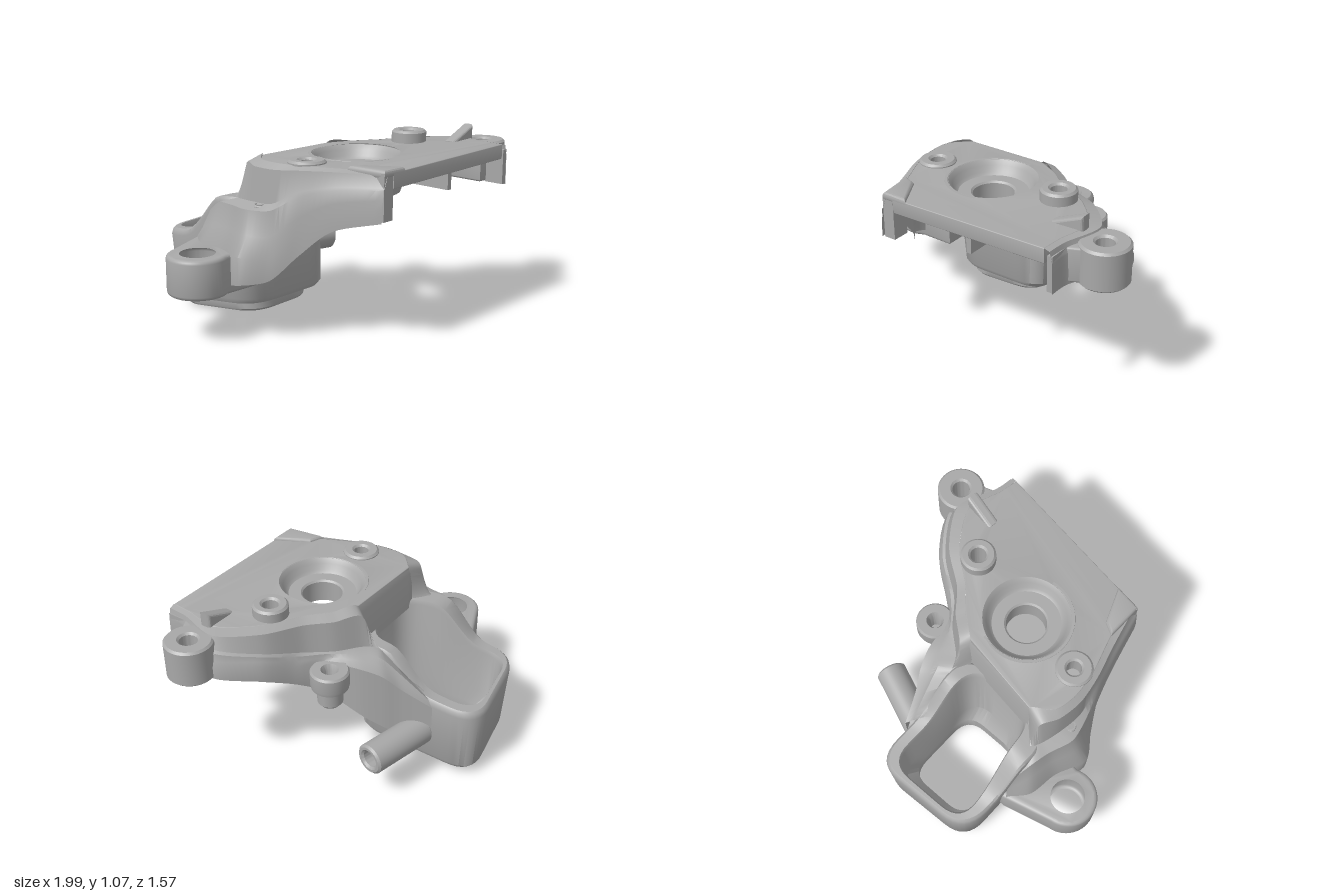
import * as THREE from 'three';
import { toCreasedNormals } from 'three/addons/utils/BufferGeometryUtils.js';

// Surface through rows of points; closed options join last to first
function grid(rows, closed = false) {
  const n = rows[0].length, m = rows.length, pos = [], idx = [];
  rows.forEach((r) => r.forEach((p) => pos.push(p.x, p.y, p.z)));
  for (let i = 0; i < (closed ? m : m - 1); i++) {
    for (let j = 0; j < (closed ? n : n - 1); j++) {
      const a = i * n + j, b = i * n + (j + 1) % n;
      const c = ((i + 1) % m) * n + j, d = ((i + 1) % m) * n + (j + 1) % n;
      idx.push(a, b, d, a, d, c);
    }
  }
  const g = new THREE.BufferGeometry();
  g.setAttribute('position', new THREE.Float32BufferAttribute(pos, 3));
  g.setIndex(idx);
  return toCreasedNormals(g, 0.65);
}

// Smooth curve through points
const spline = (pts, k = 6) => new THREE.CatmullRomCurve3(pts, false, 'catmullrom', 0.4).getPoints((pts.length - 1) * k);

// Skirt section: deck edge, rounded shoulder, wall foot, shelf, slope, outer edge, lower edge
function section([dx, dy, dz, fx, fy, fz, ex, ey, ez, bottom]) {
  const deck = new THREE.Vector3(dx, dy, dz), foot = new THREE.Vector3(fx, fy, fz), edge = new THREE.Vector3(ex, ey, ez);
  const between = (a, b, across, down) => a.clone().lerp(b, across).setY(a.y + (b.y - a.y) * down);
  return [deck, between(deck, foot, .7, .14), foot, between(foot, edge, .45, .1),
    between(foot, edge, .64, .6), edge, edge.clone().setY(bottom)];
}

// Smooth skin over a list of cross-sections
function skin(stations) {
  const cols = stations[0].map((_, j) => spline(stations.map((s) => s[j])));
  return grid(cols[0].map((_, i) => cols.map((c) => c[i])));
}

// Rounded four-corner loop at a height given by a function of z
function loop(corners, r, height) {
  const pts = corners.map((c) => new THREE.Vector2(...c));
  const toward = (a, b) => b.clone().sub(a).setLength(r).add(a);
  return pts.flatMap((p, i) => {
    const next = pts[(i + 1) % 4], b = toward(p, next), end = toward(next, p);
    const q = new THREE.QuadraticBezierCurve(toward(p, pts[(i + 3) % 4]), p, b).getPoints(8);
    for (let k = 1; k < 10; k++) q.push(b.clone().lerp(end, k / 10));
    return q.map((t) => new THREE.Vector3(t.x, height(t.y), t.y));
  });
}

// Flat plate from an x,z outline with round holes [x, z, r]
function plate(outline, y0, y1, holes, bevel = 0.012) {
  const s = new THREE.Shape(outline.map(([x, z]) => new THREE.Vector2(x, -z)));
  holes.forEach(([x, z, r]) => s.holes.push(new THREE.Path().absarc(x, -z, r, 0, Math.PI * 2, true)));
  const g = new THREE.ExtrudeGeometry(s, {
    depth: y1 - y0 - 2 * bevel, bevelEnabled: true, bevelThickness: bevel,
    bevelSize: bevel, bevelOffset: -bevel, bevelSegments: 3, curveSegments: 40,
  });
  return toCreasedNormals(g.rotateX(-Math.PI / 2).translate(0, y0 + bevel, 0), 0.6);
}

// Turned part from a radius, height profile
const turned = (profile) => toCreasedNormals(new THREE.LatheGeometry(profile.map((p) => new THREE.Vector2(...p)), 48), 0.6);

// Hollow boss with softened edges
const boss = (r, hole, y0, y1) => turned([
  [hole, y0], [r - 0.01, y0], [r, y0 + 0.01], [r, y1 - 0.012], [r - 0.012, y1],
  [hole + 0.012, y1], [hole, y1 - 0.012], [hole, y0],
]);

export function createModel() {
  const group = new THREE.Group();
  const metal = new THREE.MeshStandardMaterial({ color: 0xa8a8a8, side: THREE.DoubleSide });
  metal.name = 'cast grey';
  const add = (name, geo, x = 0, y = 0, z = 0) => {
    const m = new THREE.Mesh(geo, metal);
    m.name = name;
    m.position.set(x, y, z);
    group.add(m);
    return m;
  };

  // Side skirts, front to back: deck edge, wall foot, outer edge, lower height
  const left = [
    [-.28, .97, .775, -.35, .9, .775, -.37, .8, .775, .72],
    [-.39, .97, .52, -.445, .88, .52, -.465, .74, .52, .65],
    [-.47, .97, .34, -.52, .84, .34, -.54, .62, .35, .5],
    [-.51, .97, .18, -.565, .76, .18, -.635, .48, .23, .36],
    [-.5, .97, .04, -.565, .75, .03, -.74, .485, .1, .33],
    [-.4, .97, -.06, -.55, .745, -.08, -.69, .49, -.09, .29],
    [-.43, .735, -.08, -.53, .735, -.16, -.685, .485, -.27, .28],
    [-.53, .63, -.3, -.55, .62, -.32, -.61, .48, -.39, .28],
  ].map(section);
  const right = [
    [.68, .99, .775, .725, .93, .775, .73, .82, .775, .75],
    [.69, .99, .65, .735, .93, .65, .74, .82, .65, .75],
    [.72, .99, .45, .8, .91, .4, .84, .82, .39, .75],
    [.56, .987, .25, .63, .86, .2, .68, .81, .19, .71],
    [.36, .981, .13, .42, .79, .09, .5, .74, .09, .62],
    [.24, .977, .03, .29, .77, -.03, .36, .73, 0, .52],
    [.1, .973, -.05, .15, .755, -.12, .295, .72, -.2, .4],
    [.06, .735, -.09, .1, .74, -.2, .24, .68, -.31, .33],
    [.06, .64, -.3, .09, .66, -.31, .18, .59, -.4, .28],
    [.03, .53, -.43, .06, .51, -.48, .1, .48, -.55, .27],
  ].map(section);
  add('leftSkirt', skin(left));
  add('rightSkirt', skin(right));

  // Top deck, bounded by the skirt edges and rising slightly to one side
  const deckEdge = (side, n) => spline(side.slice(0, n).map((s) => s[0]));
  const edge = [...deckEdge(left, 6), ...deckEdge(right, 7).reverse()];
  const deck = plate(edge.map((p) => [p.x, p.z]), 0.885, 0.97,
    [[0, .27, .25], [-.39, .27, .06], [.44, .29, .06]], 0.004);
  const dp = deck.attributes.position;
  for (let i = 0; i < dp.count; i++) dp.setY(i, dp.getY(i) + .03 * Math.max(0, dp.getX(i)));
  add('topDeck', deck);
  add('deckBackWall', skin([-.42, -.15, .13].map((x) => [
    new THREE.Vector3(x, .965, -.057), new THREE.Vector3(x, .93, -.067), new THREE.Vector3(x, .7, -.078),
  ])));

  // Dished bearing seat
  add('bearingSeat', turned([
    [.115, .76], [.115, .885], [.125, .895], [.195, .895], [.212, .91], [.225, .945],
    [.25, .972], [.265, .972], [.27, .96], [.27, .82], [.25, .76], [.115, .76],
  ]), 0, 0, .27);

  // Bosses
  add('deckBossLeft', boss(.105, .042, .86, .988), -.39, 0, .27);
  add('deckBossRight', boss(.1, .045, .86, 1.05), .44, 0, .29);
  add('cornerBoss', boss(.135, .05, .75, .97), .86, 0, .51);
  add('sideBoss', turned([
    [0, .5], [.055, .5], [.072, .52], [.075, .6], [.105, .62], [.11, .64], [.11, .72],
    [.1, .732], [.05, .732], [.035, .7], [.03, .6], [0, .6],
  ]), .4, 0, -.07);
  add('smallHoleRim', boss(.034, .018, .7, .75), -.575, 0, .1);

  // Corner boss web and raised fin
  add('cornerBossWeb', plate([[.64, .42], [.82, .39], [.8, .62], [.72, .66], [.64, .66]], .76, .955, []));
  const fin = new THREE.Shape([[.55, .96], [.74, .96], [.74, 1.07], [.55, .99]].map((p) => new THREE.Vector2(...p)));
  add('cornerFin', new THREE.ExtrudeGeometry(fin, {
    depth: .03, bevelEnabled: true, bevelSize: .015, bevelOffset: -.015, bevelThickness: .02, bevelSegments: 3,
  }), 0, 0, .48);

  // Raised front corner and ribs under the deck at the open front
  add('frontRidgeLeft', plate([[-.35, .775], [-.19, .775], [-.3, .58], [-.38, .55]], .94, .99, [], .02));
  add('frontRibLeft', new THREE.BoxGeometry(.07, .25, .1), -.318, .848, .723);
  add('frontRibRight', new THREE.BoxGeometry(.03, .2, .12), .712, .855, .713);
  add('innerRib', new THREE.BoxGeometry(.03, .1, .24), .21, .85, .64);

  // Hollow duct with a tapered throat and a sloping top rim
  const rim = new THREE.SplineCurve([[-.82, .475], [-.6, .49], [-.45, .53], [-.3, .69], [-.24, .735], [-.15, .745], [.05, .745]]
    .map((p) => new THREE.Vector2(...p))).getPoints(60);
  const top = (d) => (z) => {
    const i = Math.max(1, rim.findIndex((p) => p.x >= z));
    return THREE.MathUtils.mapLinear(z, rim[i - 1].x, rim[i].x, rim[i - 1].y, rim[i].y) + d;
  };
  const base = (d) => (z) => .127 + .1 * z + d;
  const outer = [[-.615, -.7], [.04, -.82], [.125, -.04], [-.57, -.02]];
  const lower = [[-.59, -.68], [.04, -.8], [.115, -.03], [-.51, -.025]];
  const throat = [[-.55, -.67], [-.03, -.755], [.03, -.08], [-.41, -.03]];
  const mouth = [[-.48, -.6], [-.055, -.665], [0, -.17], [-.41, -.11]];
  const lip = [[-.53, -.66], [-.02, -.735], [.03, -.1], [-.46, -.065]];
  const shrink = (q, k) => q.map(([x, z]) => [-.24 + (x + .24) * k, -.4 + (z + .4) * k]);
  add('duct', grid([
    loop(lower, .16, base(.03)), loop(outer, .17, top(-.04)), loop(shrink(outer, .985), .17, top(-.012)),
    loop(shrink(outer, .95), .16, top(0)), loop(shrink(throat, 1.03), .15, top(0)), loop(throat, .15, top(-.025)),
    loop(shrink(throat, .95), .14, base(.12)), loop(mouth, .13, base(.04)), loop(mouth, .13, base(-.057)),
    loop(shrink(lip, .97), .15, base(-.057)), loop(lip, .15, base(-.045)), loop(lip, .15, base(-.005)),
    loop(shrink(lower, .95), .16, base(0)),
  ], true));

  // Side ear with its arm
  const ear = [];
  for (let i = 0; i <= 28; i++) {
    const a = 1.05 + (i / 28) * 3.4;
    ear.push([-.83 + .17 * Math.cos(a), -.12 + .17 * Math.sin(a)]);
  }
  add('sideEar', plate([[-.53, .03], ...ear, [-.6, -.4], [-.53, -.4]], .265, .487, [[-.83, -.12, .12]], 0.022));

  // Angled pipe stub
  const stub = add('pipeStub', boss(.09, .05, 0, .41), .08, .29, -.475);
  stub.quaternion.setFromUnitVectors(new THREE.Vector3(0, 1, 0), new THREE.Vector3(.974, 0, .225).normalize());

  return group;
}
